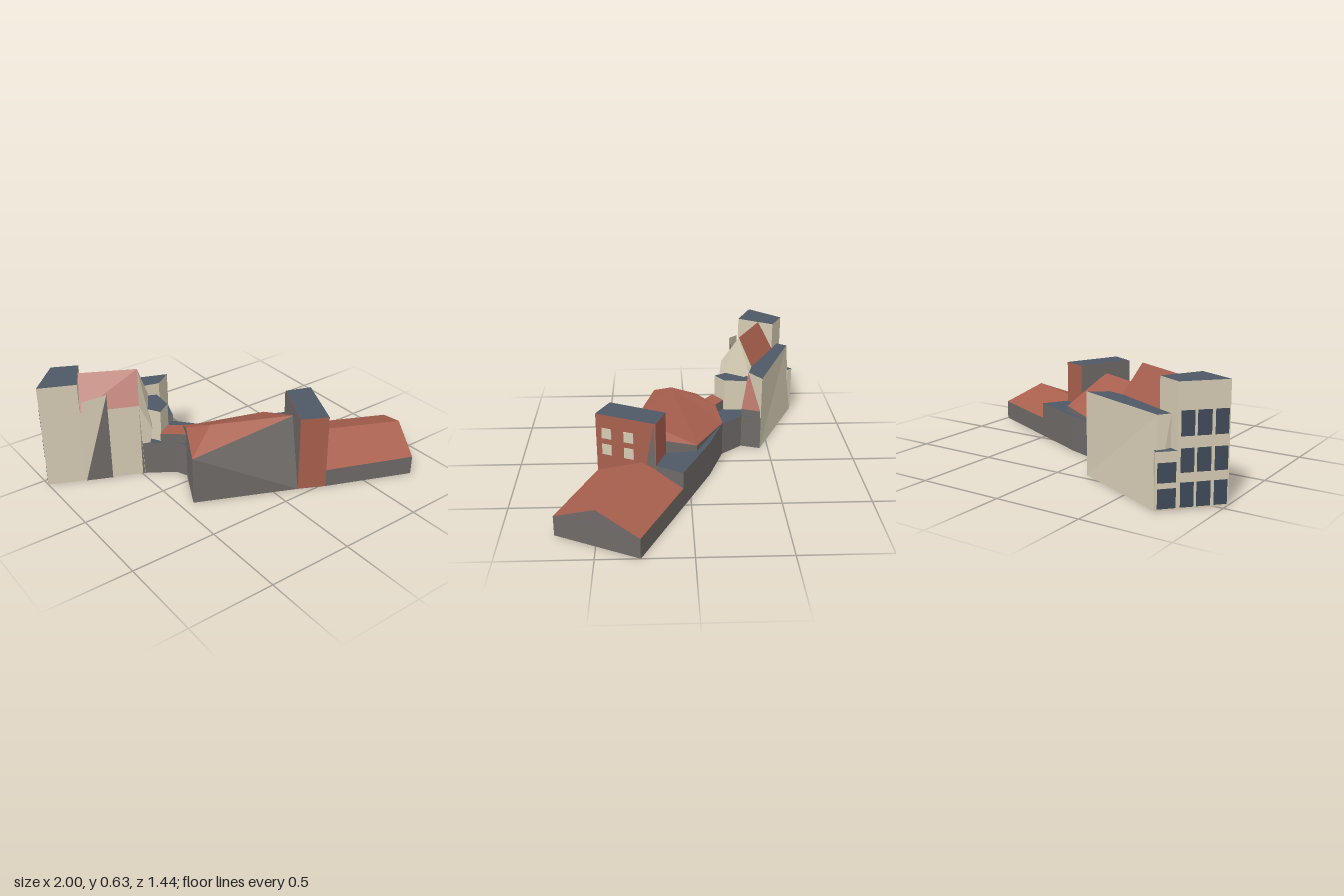
import * as THREE from 'three';

const mat = (name, color) => new THREE.MeshStandardMaterial({ name, color, side: THREE.DoubleSide });

export function createModel() {
  const cream = mat('cream plaster', 0xd6ccb4);
  const red = mat('terracotta', 0xa9604e);
  const slate = mat('slate', 0x4d5966);
  const grey = mat('grey wall', 0x6f6a68);
  const glass = mat('dark window', 0x3f4a59);

  const model = new THREE.Group();
  model.name = 'houseRow';

  const add = (name, geometry, material, parent = model) => {
    const mesh = new THREE.Mesh(geometry, material);
    mesh.name = name;
    parent.add(mesh);
    return mesh;
  };

  // Flat faces from corner loops, each loop filled as a fan
  const faces = (name, material, loops, parent) => {
    const pts = [];
    for (const l of loops)
      for (let i = 1; i < l.length - 1; i++) pts.push(...l[0], ...l[i], ...l[i + 1]);
    const g = new THREE.BufferGeometry();
    g.setAttribute('position', new THREE.Float32BufferAttribute(pts, 3));
    g.computeVertexNormals();
    return add(name, g, material, parent);
  };

  // Block over a plan [x, z]; the top outline may differ so that walls can lean
  const block = (name, plan, y, wall, roof, topPlan = plan) => {
    let low = plan.map(([x, z]) => new THREE.Vector2(x, z));
    let high = topPlan.map(([x, z]) => new THREE.Vector2(x, z));
    if (THREE.ShapeUtils.area(low) > 0) { low = low.reverse(); high = high.reverse(); }
    const n = low.length, walls = [], top = [], base = [];
    const L = i => [low[i % n].x, 0, low[i % n].y];
    const H = i => [high[i % n].x, y, high[i % n].y];
    for (let i = 0; i < n; i++) walls.push([L(i), L(i + 1), H(i + 1), H(i)]);
    for (const t of THREE.ShapeUtils.triangulateShape(high, [])) top.push(t.map(H));
    for (const t of THREE.ShapeUtils.triangulateShape(low, [])) base.push(t.map(L).reverse());
    const group = new THREE.Group();
    group.name = name;
    model.add(group);
    faces(name + 'Walls', wall, [...walls, ...base], group);
    faces(name + 'Roof', roof, top, group);
  };

  // Thin window plate on the wall line from a to b
  const windowOn = (name, material, a, b, t0, t1, y0, y1) => {
    const dx = b[0] - a[0], dz = b[1] - a[1], t = (t0 + t1) / 2;
    const w = add(name, new THREE.BoxGeometry(Math.hypot(dx, dz) * (t1 - t0), y1 - y0, 0.008), material);
    w.position.set(a[0] + dx * t, (y0 + y1) / 2, a[1] + dz * t);
    w.rotation.y = -Math.atan2(dz, dx);
  };
  const ground = p => [p[0], 0, p[2]];
  const wallsUnder = pts => pts.slice(1).map((p, i) => [ground(pts[i]), ground(p), p, pts[i]]);

  // Long low barn with a gable roof
  const b1 = [1, 0.115, 0.27], b2 = [0.775, 0.115, 0.72], b3 = [0.28, 0.11, 0.52];
  const bt = [0.43, 0.18, 0.19], b4 = [0.52, 0.115, 0.045];
  const ridgeA = [0.885, 0.215, 0.495], ridgeB = [0.4, 0.215, 0.27];
  faces('barnWalls', grey, [
    ...wallsUnder([b3, b2, b1, b4, bt]), [b2, b1, ridgeA],
    [b3, bt, b4, b1, b2].map(ground),
  ]);
  faces('barnRoof', red, [[b2, ridgeA, ridgeB, b3], [b1, b4, bt, ridgeB, ridgeA]]);

  // Flat-topped red tower with four windows
  const towerFront = [0.28, 0.52], towerBack = [0.43, 0.19];
  block('redTower', [[0.135, 0.447], towerFront, towerBack, [0.285, 0.135]], 0.46, red, slate);
  faces('towerLeftFace', grey, [
    [[0.132, 0, 0.446], [0.282, 0, 0.134], [0.282, 0.459, 0.134], [0.132, 0.459, 0.446]],
  ]);
  faces('towerCornerPatch', grey, [[[0.429, 0.459, 0.202], [0.411, 0.21, 0.242], [0.433, 0.19, 0.193]]]);
  for (const [t0, t1] of [[0.1, 0.26], [0.47, 0.63]])
    for (const [y0, y1] of [[0.22, 0.283], [0.318, 0.38]])
      windowOn('towerWindow', cream, towerFront, towerBack, t0, t1, y0, y1);

  // Middle house with a hipped roof and a leaning front wall
  const A = [-0.425, 0.29, 0.2], B = [0.135, 0, 0.447], C = [0.285, 0.285, 0.135];
  const D = [0.265, 0.245, -0.04], E = [-0.095, 0.21, -0.21], F = [-0.24, 0.265, -0.175];
  const G = [-0.29, 0.32, -0.06], R1 = [-0.23, 0.39, 0.095], R2 = [0.21, 0.395, 0.3];
  faces('houseWalls', grey, [
    [A, ground(A), B], [A, B, R2],
    ...wallsUnder([C, D, E, F, G, A]),
    [A, G, F, E, D, C].map(ground), [ground(A), ground(C), B],
  ]);
  faces('houseRoof', red, [
    [A, R2, R1], [A, R1, G], [R1, F, G], [R1, E, F], [R1, D, E], [R1, R2, D], [R2, C, D],
  ]);

  // Flat annex behind the house
  block('annex', [[0.285, 0.135], [0.43, 0.19], [0.52, 0.045], [0.165, -0.12],
    [-0.095, -0.21], [0.265, -0.04]], 0.21, grey, slate);

  // Low links between the two groups of buildings
  block('link', [[-0.3, -0.05], [-0.24, -0.175], [-0.095, -0.21], [-0.2, -0.335], [-0.163, -0.45],
    [-0.3, -0.37], [-0.36, -0.4], [-0.495, -0.227], [-0.4, -0.165], [-0.325, -0.11]], 0.205, grey, slate);
  block('linkPorch', [[-0.4, -0.165], [-0.32, -0.235], [-0.24, -0.175], [-0.28, -0.07],
    [-0.325, -0.11]], 0.265, grey, red);
  block('linkEnd', [[-0.165, -0.445], [-0.205, -0.335], [-0.27, -0.38]], 0.25, grey, slate);

  // Small cream turret
  block('turret', [[-0.355, -0.4], [-0.29, -0.37], [-0.3, -0.235], [-0.385, -0.18],
    [-0.425, -0.25]], 0.4, cream, slate);

  // Hall with a steep gable roof
  const h1 = [-0.8, 0.455, -0.36], h2 = [-0.495, 0.455, -0.227];
  const h3 = [-0.36, 0.465, -0.405], h4 = [-0.68, 0.465, -0.57];
  const top1 = [-0.735, 0.63, -0.485], top2 = [-0.435, 0.63, -0.33];
  faces('hallWalls', cream, [
    ...wallsUnder([h1, h2, h3, h4]), [h2, h3, top2], [h4, h1, top1],
    [h1, h4, h3, h2].map(ground),
  ]);
  faces('hallRoof', red, [[h1, h2, top2, top1], [h3, h4, top1, top2]]);
  // Slanted corner pieces of the hall
  faces('hallCorner', cream, [
    [h2, [-0.485, 0, -0.22], [-0.43, 0.29, -0.2], top2],
    [[-0.43, 0.29, -0.2], [-0.34, 0.42, -0.39], top2],
    [[-0.8, 0, -0.355], [-0.66, 0.55, -0.293], [-0.79, 0.52, -0.35]],
  ]);
  faces('hallButtress', grey, [[[-0.8, 0, -0.355], [-0.66, 0, -0.293], [-0.66, 0.55, -0.293]]]);

  // Tall cream end tower
  const endA = [-1, -0.45], endB = [-0.745, -0.72];
  block('endTower', [endA, [-0.82, -0.64], [-0.68, -0.57], [-0.8, -0.36]], 0.63, cream, slate);

  // Rear wing with a leaning back wall, and its low end
  const wing = [[-0.163, -0.45], [-0.265, -0.38], [-0.36, -0.405], [-0.68, -0.57], [-0.77, -0.615]];
  block('rearWing', [[-0.74, -0.715], ...wing], 0.465, cream, slate, [[-0.73, -0.675], ...wing]);
  block('lowEnd', [endB, [-0.82, -0.64], [-0.77, -0.615], [-0.72, -0.69]], 0.295, cream, slate);
  faces('wingRedHip', red, [[[-0.265, 0.465, -0.378], [-0.163, 0.25, -0.445], [-0.205, 0.25, -0.335]]]);

  // Windows of the end wall
  for (const [y0, y1] of [[0.01, 0.135], [0.185, 0.305], [0.365, 0.49]])
    for (const [t0, t1] of [[0.02, 0.2], [0.25, 0.44], [0.48, 0.66]])
      windowOn('endWindow', glass, endA, endB, t0, t1, y0, y1);
  for (const [y0, y1] of [[0.01, 0.11], [0.14, 0.24]])
    windowOn('lowEndWindow', glass, endA, endB, 0.72, 0.97, y0, y1);

  return model;
}
